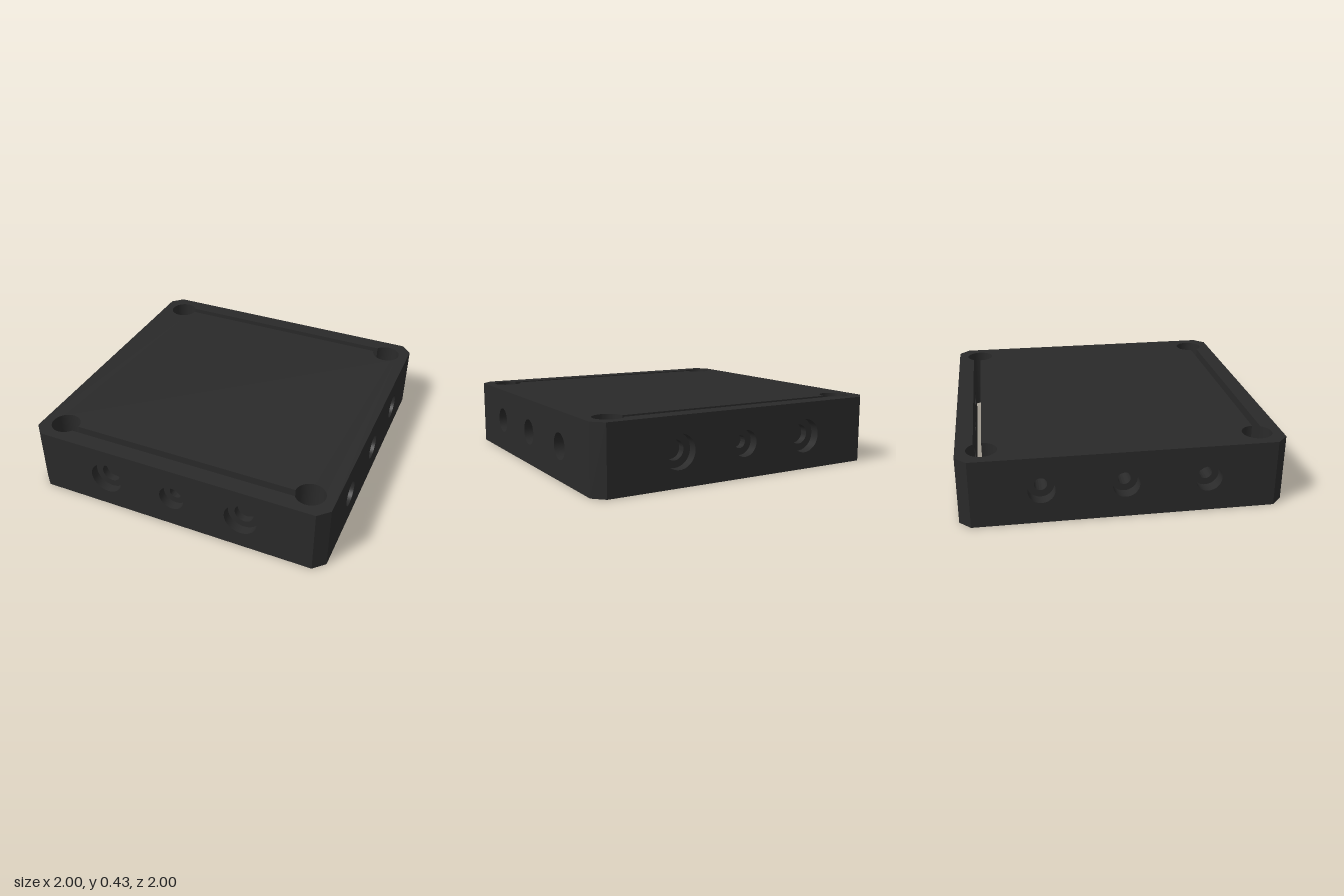
import * as THREE from 'three';
import { toCreasedNormals } from 'three/addons/utils/BufferGeometryUtils.js';

const H = 0.43;            // block height
const CH = 0.07;           // corner chamfer
const C = 0.843;           // corner hole centre
const R = 0.093;           // corner hole radius
const SLOT = 0.05;         // slot width
const A = Math.asin(SLOT / R);
const SLOT_END = C - R * Math.cos(A);
const SLOT_OUT = C + SLOT;

const material = new THREE.MeshStandardMaterial({ color: 0x2a2a2a });

function add(parent, name, geometry) {
  const mesh = new THREE.Mesh(geometry, material);
  mesh.name = name;
  parent.add(mesh);
  return mesh;
}

// Two corner holes joined by a slot, counter-clockwise in (x, z)
function slotOutline(sign) {
  const path = new THREE.Path();
  path.absarc(-C, C, R, A, Math.PI * 2, false);
  path.absarc(C, C, R, Math.PI, Math.PI * 3 - A, false);
  return path.getPoints(24).map((p) => p.multiplyScalar(sign));
}

// Upright wall along an open line of points, facing to the line's left
function uprightWall(points) {
  const pos = [];
  for (let i = 0; i < points.length - 1; i++) {
    const a = points[i], b = points[i + 1];
    pos.push(a.x, 0, a.y, b.x, 0, b.y, b.x, H, b.y);
    pos.push(a.x, 0, a.y, b.x, H, b.y, a.x, H, a.y);
  }
  const geo = new THREE.BufferGeometry();
  geo.setAttribute('position', new THREE.Float32BufferAttribute(pos, 3));
  return toCreasedNormals(geo, 0.6);
}

// Flat upright panel with round openings at mid height
function panel(halfWidth, holes) {
  const shape = new THREE.Shape([
    new THREE.Vector2(-halfWidth, 0), new THREE.Vector2(halfWidth, 0),
    new THREE.Vector2(halfWidth, H), new THREE.Vector2(-halfWidth, H),
  ]);
  for (const { x, r } of holes) {
    shape.holes.push(new THREE.Path().absarc(x, H / 2, r, 0, Math.PI * 2, true));
  }
  return new THREE.ShapeGeometry(shape, 24);
}

// Stepped bore: wide mouth, ledge, narrow pilot
function bore(r, pilot, step, depth, capped) {
  const profile = [[r, 0], [r, -step], [pilot, -step], [pilot, -depth]];
  if (capped) profile.push([0, -depth]);
  const geo = new THREE.LatheGeometry(profile.map(([x, y]) => new THREE.Vector2(x, y)), 48);
  return toCreasedNormals(geo.rotateX(Math.PI / 2), 0.6);
}

export function createModel() {
  const model = new THREE.Group();
  model.name = 'mountingBlock';

  // Top and bottom faces with the slotted openings
  const outlines = [slotOutline(1), slotOutline(-1)];
  const k = 1 - CH;
  const face = new THREE.Shape(
    [[k, -1], [1, -k], [1, k], [k, 1], [-k, 1], [-1, k], [-1, -k], [-k, -1]]
      .map(([x, y]) => new THREE.Vector2(x, y)));
  outlines.forEach((pts) => face.holes.push(new THREE.Path(pts)));
  add(model, 'topFace', new THREE.ShapeGeometry(face).rotateX(-Math.PI / 2)).position.y = H;
  add(model, 'bottomFace', new THREE.ShapeGeometry(face).rotateX(Math.PI / 2));

  // Inner walls of corner holes and slots
  outlines.forEach((pts, i) => add(model, i ? 'backSlotWall' : 'frontSlotWall', uprightWall(pts)));

  // Four sides, each with three stepped bores and one corner chamfer
  const slotted = [
    { x: -0.465, r: 0.107, pilot: 0.062 },
    { x: 0, r: 0.083, pilot: 0.04 },
    { x: 0.465, r: 0.107, pilot: 0.062 },
  ];
  const plain = [-0.507, 0, 0.507].map((x) => ({ x, r: 0.083, pilot: 0.04 }));

  ['front', 'left', 'back', 'right'].forEach((name, i) => {
    const hasSlot = i % 2 === 0;
    const holes = hasSlot ? slotted : plain;
    const side = new THREE.Group();
    side.name = name + 'Side';
    side.rotation.y = i * Math.PI / 2;
    model.add(side);

    add(side, name + 'Panel', panel(k, holes)).position.z = 1;
    for (const { x, r, pilot } of holes) {
      const geo = hasSlot ? bore(r, pilot, 0.06, 1 - SLOT_OUT, false) : bore(r, pilot, 0.08, 0.3, true);
      add(side, name + 'Bore', geo).position.set(x, H / 2, 1);
    }

    // Outer slot face, where the pilots break through
    if (hasSlot) {
      const pilots = holes.map(({ x, pilot }) => ({ x, r: pilot }));
      add(side, name + 'SlotOuterFace', panel(SLOT_END, pilots).rotateY(Math.PI)).position.z = SLOT_OUT;
    }

    const chamfer = add(side, 'cornerChamfer', new THREE.PlaneGeometry(CH * Math.SQRT2, H));
    chamfer.position.set(1 - CH / 2, H / 2, 1 - CH / 2);
    chamfer.rotation.y = Math.PI / 4;
  });

  return model;
}
